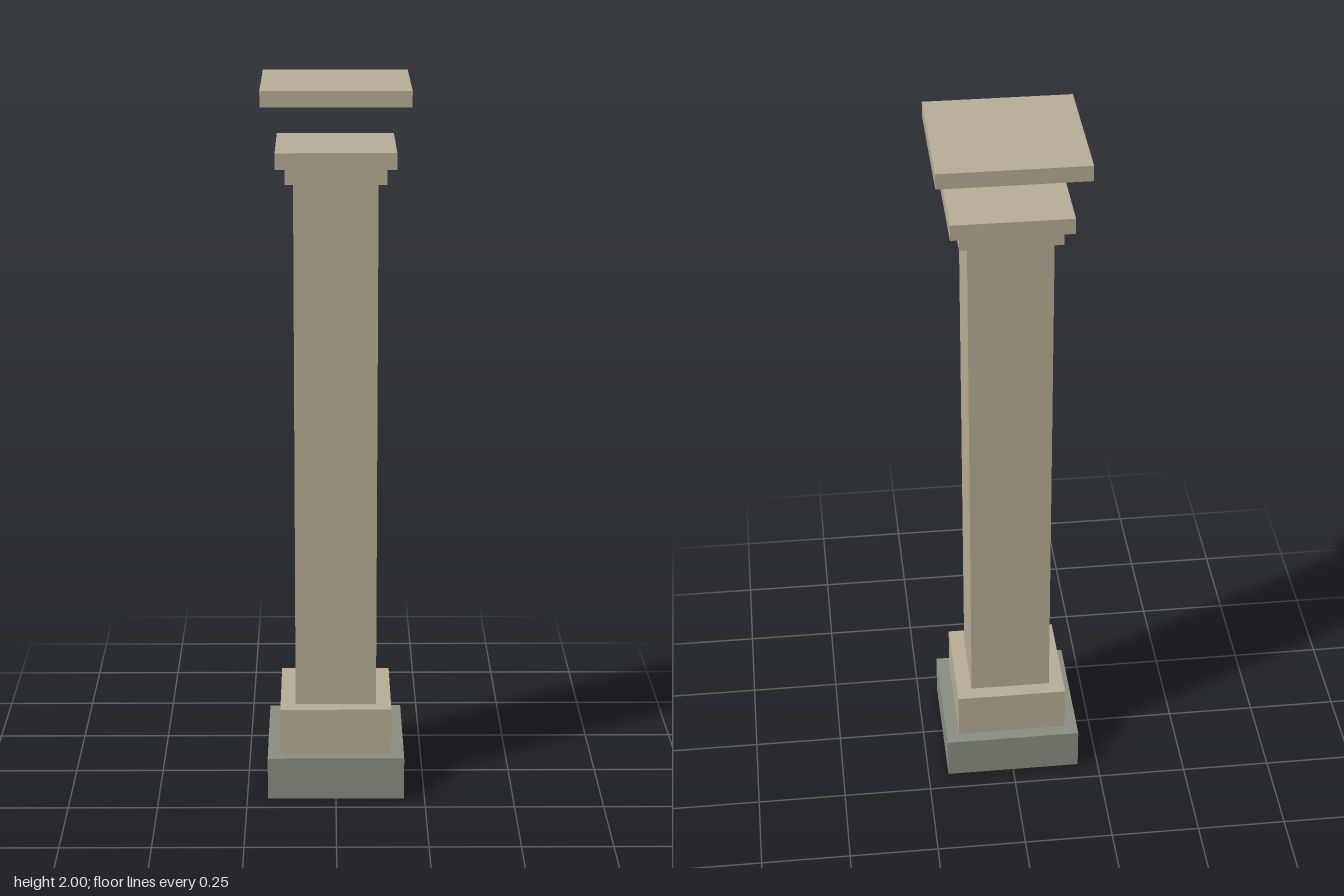
import * as THREE from 'three';

export function createModel() {
  const model = new THREE.Group();
  model.name = 'squareColumn';

  const sandstone = new THREE.MeshStandardMaterial({ color: 0xb8ae98 });
  sandstone.name = 'sandstone';
  const greyStone = new THREE.MeshStandardMaterial({ color: 0x8a8f82 });
  greyStone.name = 'greyStone';

  // Square block given by its width and its bottom and top heights
  const block = (name, width, bottom, top, material) => {
    const mesh = new THREE.Mesh(new THREE.BoxGeometry(width, top - bottom, width), material);
    mesh.name = name;
    mesh.position.y = (bottom + top) / 2;
    model.add(mesh);
  };

  // Foot
  block('plinth', 0.384, 0, 0.122, greyStone);
  block('base', 0.312, 0.122, 0.255, sandstone);

  // Shaft
  block('shaft', 0.227, 0.255, 1.742, sandstone);

  // Stepped capital
  block('capitalLower', 0.272, 1.742, 1.787, sandstone);
  block('capitalUpper', 0.322, 1.787, 1.831, sandstone);

  // Separate slab above the capital
  block('topSlab', 0.397, 1.957, 2, sandstone);

  return model;
}
